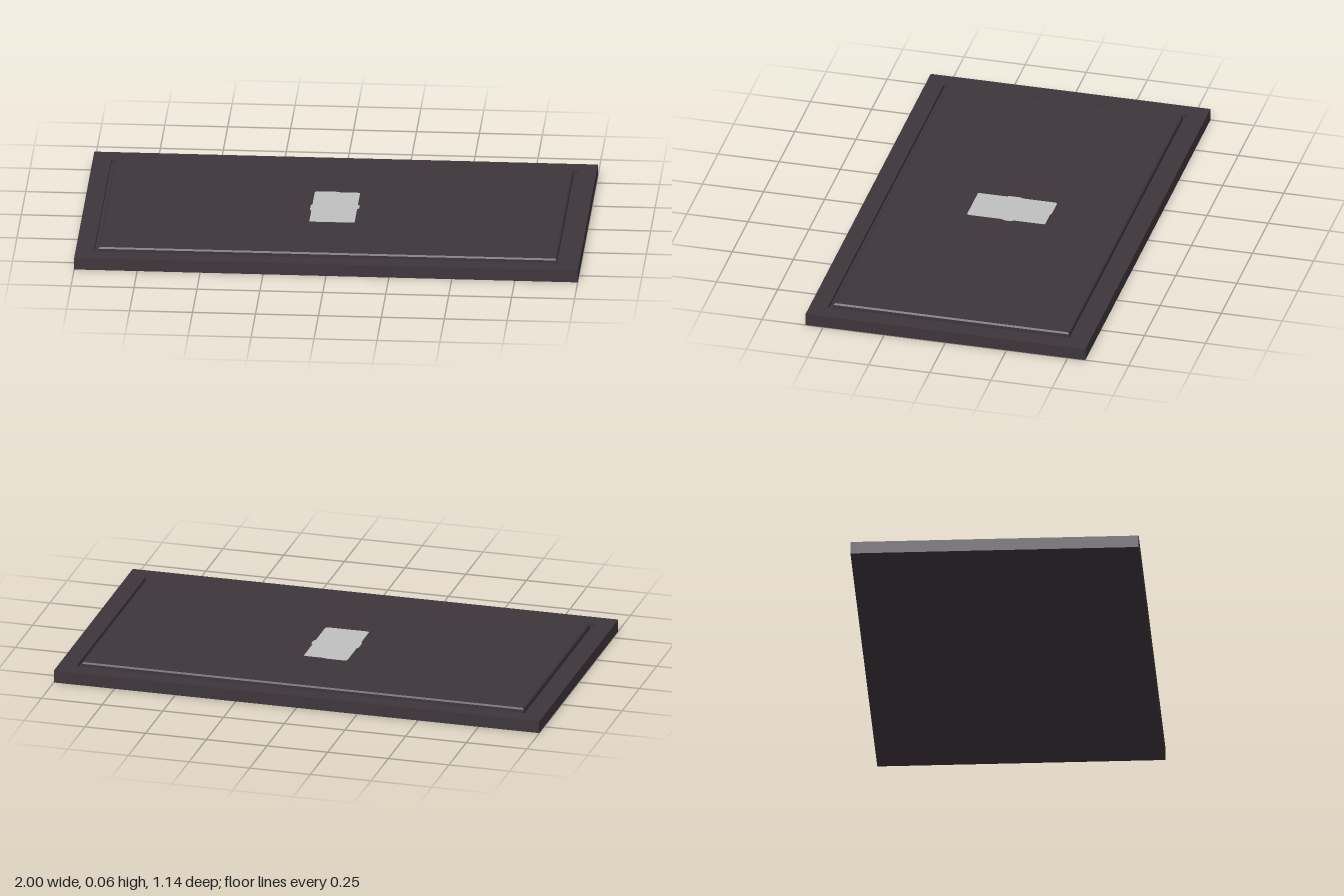
import * as THREE from 'three';

const darkCharcoal = new THREE.MeshStandardMaterial({ color: 0x3d353b });
darkCharcoal.name = 'dark charcoal';
const paleGrey = new THREE.MeshStandardMaterial({ color: 0xbfbfbf });
paleGrey.name = 'pale grey';

const HALF_X = 1, HALF_Z = 0.572;
const GROOVE_X = 0.927, GROOVE_Z = 0.5;
const PANEL_X = 0.91, PANEL_Z = 0.482;
const FRAME_TOP = 0.05, FLOOR = 0.035, PANEL_TOP = 0.061;

function rectangle(Type, hx, hz) {
  return new Type([[-hx, -hz], [hx, -hz], [hx, hz], [-hx, hz]].map(([x, y]) => new THREE.Vector2(x, y)));
}

// Extrudes a plan outline upward from y = 0
function extrudeUp(shape, options) {
  return new THREE.ExtrudeGeometry(shape, options).rotateX(-Math.PI / 2);
}

export function createModel() {
  const group = new THREE.Group();
  group.name = 'panelledSlab';
  const add = (name, geometry, material, y = 0) => {
    const mesh = new THREE.Mesh(geometry, material);
    mesh.name = name;
    mesh.position.y = y;
    group.add(mesh);
  };

  // Flat outer border
  const border = rectangle(THREE.Shape, HALF_X, HALF_Z);
  border.holes.push(rectangle(THREE.Path, GROOVE_X, GROOVE_Z));
  add('border', extrudeUp(border, { depth: FRAME_TOP, bevelEnabled: false }), darkCharcoal);

  // Bottom plate, seen as the groove floor
  add('grooveFloor', new THREE.BoxGeometry(GROOVE_X * 2, FLOOR, GROOVE_Z * 2), darkCharcoal, FLOOR / 2);

  // Raised centre panel with a chamfered rim
  const chamfer = 0.006;
  const panel = extrudeUp(rectangle(THREE.Shape, PANEL_X - chamfer, PANEL_Z - chamfer), {
    depth: PANEL_TOP - FLOOR - chamfer, bevelSize: chamfer, bevelThickness: chamfer, bevelSegments: 1,
  });
  add('raisedPanel', panel, darkCharcoal, FLOOR);

  // Thin inlay with slightly uneven edges; plan points are [x, -z]
  const outline = [
    [-0.092, -0.147], [0.078, -0.147], [0.084, -0.14], [0.084, -0.005], [0.092, 0.01], [0.092, 0.035],
    [0.084, 0.045], [0.084, 0.168], [0.078, 0.173], [0.005, 0.173], [-0.01, 0.178], [-0.088, 0.178],
    [-0.096, 0.17], [-0.096, 0.035], [-0.102, 0.028], [-0.102, -0.022], [-0.096, -0.028], [-0.096, -0.142],
  ];
  const inlay = new THREE.Shape(outline.map(([x, y]) => new THREE.Vector2(x, y)));
  add('inlay', extrudeUp(inlay, { depth: 0.001, bevelEnabled: false }), paleGrey, PANEL_TOP);

  return group;
}
